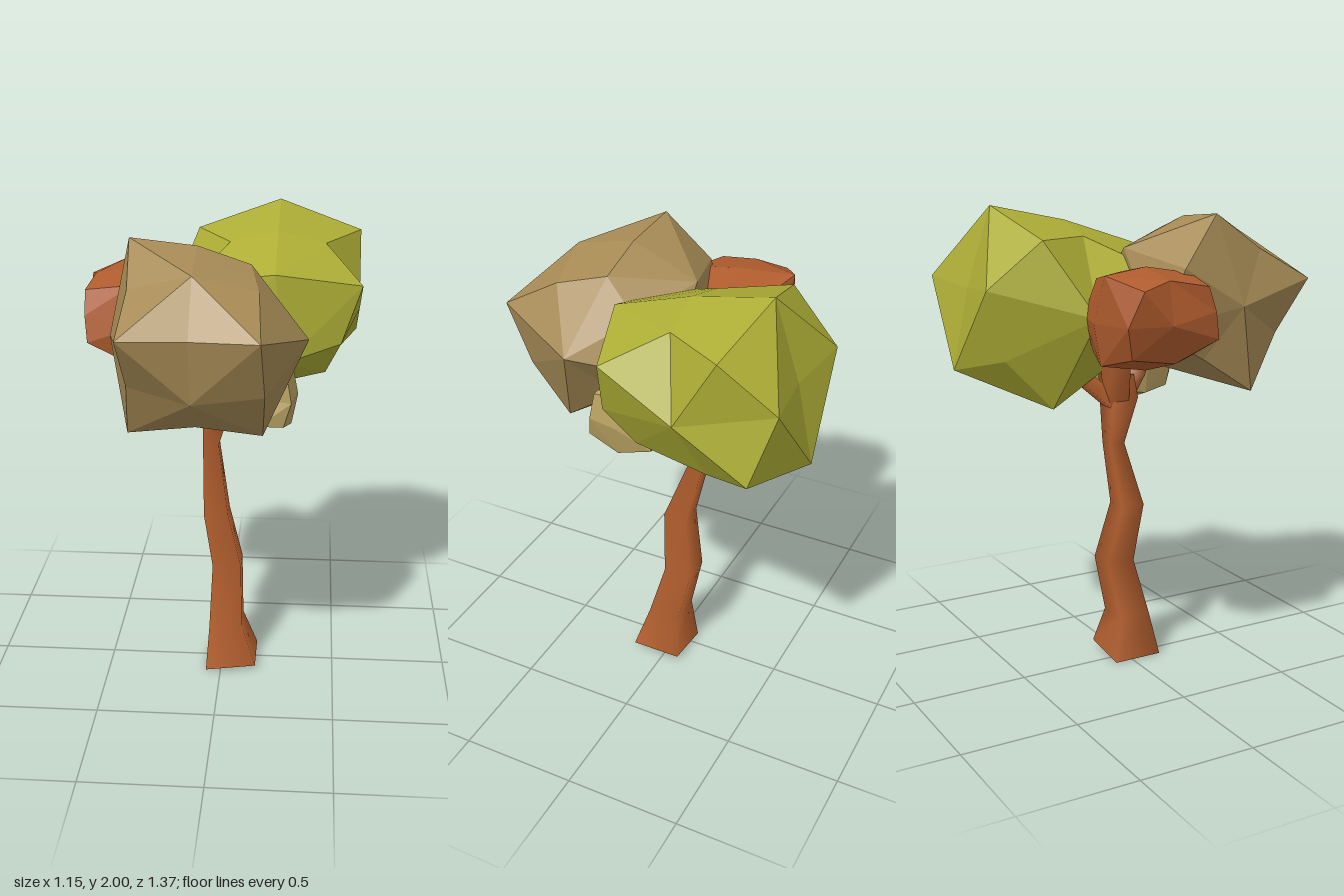
import * as THREE from 'three';

const flat = (name, color) => new THREE.MeshStandardMaterial({ name, color, flatShading: true });
const green = flat('oliveGreen', 0xadad36);
const brown = flat('dryBrown', 0xa68a55);
const tan = flat('paleTan', 0xb8a062);
const rustLeaf = flat('rustLeaf', 0xb05c2e);
const bark = new THREE.MeshStandardMaterial({ name: 'bark', color: 0xb5602f });

// Faceted leaf clump: a 2x2x2 divided box whose corners, face centres and edge
// middles are each moved to their own distance; edges[i] is for edges along axis i.
// moved holds single points pulled out of line, keyed by their sign triple.
function clump(name, material, { at, tilt = 0, corner, face, edges, moved }) {
  const box = new THREE.BoxGeometry(2, 2, 2, 2, 2, 2);
  const pos = box.attributes.position;
  const points = [];
  for (let i = 0; i < pos.count; i++) {
    const s = [pos.getX(i), pos.getY(i), pos.getZ(i)].map((v) => Math.round(v) + 0);
    const zeros = s.filter((v) => v === 0).length;
    const size = zeros === 0 ? corner : zeros === 2 ? face : edges[s.indexOf(0)];
    points.push(new THREE.Vector3(...(moved[s.join()] || s.map((v, k) => v * size[k]))));
  }
  // split each quad along its outer diagonal so the clump stays rounded
  const idx = box.index.array;
  const corners = [];
  for (let i = 0; i < idx.length; i += 6) {
    const [a, b, d, c] = [idx[i], idx[i + 1], idx[i + 2], idx[i + 4]].map((k) => points[k]);
    const ac = a.clone().add(c).length();
    const bd = b.clone().add(d).length();
    corners.push(...(ac > bd ? [a, b, c, a, c, d] : [a, b, d, b, c, d]));
  }
  const geo = new THREE.BufferGeometry().setFromPoints(corners);
  geo.computeVertexNormals();
  const mesh = new THREE.Mesh(geo, material);
  mesh.name = name;
  mesh.position.set(...at);
  mesh.rotation.x = tilt;
  return mesh;
}

// Square limb through level rings [x, y, z, half width]; lift tilts the first ring
function limb(name, rings, lift = 0) {
  const n = 4, verts = [], index = [];
  const square = [[1, 1], [1, -1], [-1, -1], [-1, 1]];
  rings.forEach(([x, y, z, h], j) => {
    square.forEach(([sx, sz], k) => {
      verts.push(x + sx * h, y + (j === 0 ? lift * (sx + 1) * h : 0), z + sz * h);
      if (j < rings.length - 1) {
        const p = j * n + k, q = j * n + ((k + 1) % n);
        index.push(p, q, q + n, p, q + n, p + n);
      }
    });
  });
  // end caps with their own corners so the rims stay sharp
  [0, rings.length - 1].forEach((j, end) => {
    const base = verts.length / 3;
    verts.push(...verts.slice(j * n * 3, (j + 1) * n * 3));
    for (let k = 1; k < n - 1; k++) {
      index.push(base, base + (end ? k : k + 1), base + (end ? k + 1 : k));
    }
  });
  const geo = new THREE.BufferGeometry();
  geo.setAttribute('position', new THREE.Float32BufferAttribute(verts, 3));
  geo.setIndex(index);
  geo.computeVertexNormals();
  const mesh = new THREE.Mesh(geo, bark);
  mesh.name = name;
  return mesh;
}

export function createModel() {
  const tree = new THREE.Group();
  tree.name = 'tree';

  // Crooked trunk
  tree.add(limb('trunk', [
    [0.045, 0, 0.03, 0.11],
    [0.02, 0.2, 0.02, 0.072],
    [0.02, 0.46, -0.045, 0.063],
    [-0.025, 0.72, -0.005, 0.053],
    [-0.055, 1.01, -0.088, 0.034],
    [-0.025, 1.2, -0.045, 0.06],
    [-0.03, 1.3, -0.06, 0.055],
  ], 0.136));

  // Branches reaching into the clumps
  const fork = [-0.035, 1.16, -0.065, 0.04];
  const tips = {
    backBranch: [0.04, 1.33, -0.23, 0.035],
    rightBranch: [-0.14, 1.5, -0.12, 0.025],
    frontBranch: [-0.03, 1.42, 0.08, 0.03],
    leftBranch: [0.08, 1.3, 0.0, 0.025],
  };
  for (const [name, tip] of Object.entries(tips)) {
    const middle = fork.map((v, i) => (v + tip[i]) / 2);
    middle[3] = 0.045;
    tree.add(limb(name, [fork, middle, tip]));
  }

  // Large green clump at the back left
  tree.add(clump('greenFoliage', green, {
    at: [0.22, 1.575, -0.265], tilt: 0.262,
    corner: [0.352, 0.25, 0.25], face: [0.352, 0.364, 0.364],
    edges: [[0, 0.345, 0.345], [0.29, 0, 0.36], [0.2, 0.31, 0]],
    moved: {
      '-1,0,0': [-0.48, 0, 0],
      '0,-1,0': [0, -0.335, 0],
      '0,0,1': [0.04, 0, 0.45],
      '1,0,1': [0.27, 0.03, 0.34],
      '1,0,-1': [0.29, 0.01, -0.41],
      '-1,0,-1': [-0.29, 0.01, -0.41],
      '1,-1,0': [0.2, -0.29, 0],
      '0,-1,1': [0, -0.195, 0.296],
      '1,-1,1': [0.21, -0.15, 0.273],
      '-1,-1,1': [-0.24, -0.15, 0.27],
      '-1,-1,-1': [-0.26, -0.25, -0.25],
      '-1,-1,0': [-0.27, -0.405, 0.005],
    },
  }));

  // Brown clump at the front
  tree.add(clump('brownFoliage', brown, {
    at: [-0.08, 1.605, 0.315], tilt: 0.55,
    corner: [0.268, 0.267, 0.272], face: [0.34, 0.335, 0.345],
    edges: [[0, 0.25, 0.25], [0.25, 0, 0.26], [0.25, 0.257, 0]],
    moved: {
      '1,0,0': [0.44, 0, 0],
      '0,0,-1': [0, 0, -0.43],
      '1,1,-1': [0.21, 0.195, -0.208],
      '-1,0,-1': [-0.33, 0, -0.32],
      '1,0,1': [0.28, 0, 0.3],
    },
  }));

  // Rust clump on the right
  tree.add(clump('rustFoliage', rustLeaf, {
    at: [-0.36, 1.58, -0.11],
    corner: [0.16, 0.14, 0.15], face: [0.21, 0.205, 0.23],
    edges: [[0, 0.17, 0.2], [0.18, 0, 0.18], [0.18, 0.17, 0]],
    moved: {
      '-1,1,-1': [-0.215, 0.14, -0.13],
      '0,1,-1': [-0.07, 0.19, -0.22],
      '1,1,-1': [0.09, 0.16, -0.17],
      '1,1,0': [0.17, 0.17, -0.01],
      '-1,1,1': [-0.2, 0.14, 0.165],
      '-1,0,1': [-0.2, 0.04, 0.2],
      '-1,-1,1': [-0.19, -0.07, 0.22],
      '-1,-1,0': [-0.14, -0.16, 0.05],
      '-1,-1,-1': [-0.14, -0.13, -0.14],
      '1,0,0': [0.25, 0, -0.01],
    },
  }));

  // Small tan clump low on the left
  tree.add(clump('tanFoliage', tan, {
    at: [0.165, 1.315, 0.12],
    corner: [0.11, 0.11, 0.115], face: [0.155, 0.17, 0.17],
    edges: [[0, 0.13, 0.125], [0.13, 0, 0.13], [0.13, 0.13, 0]],
    moved: {
      '0,-1,0': [-0.03, -0.165, -0.01],
      '0,-1,1': [0, -0.075, 0.2],
      '0,0,1': [0, 0.025, 0.15],
      '0,1,1': [0, 0.16, 0.07],
      '1,-1,1': [0.1, -0.095, 0.15],
      '1,-1,-1': [0.135, -0.075, -0.155],
      '0,0,-1': [0, 0.02, -0.17],
    },
  }));

  return tree;
}
